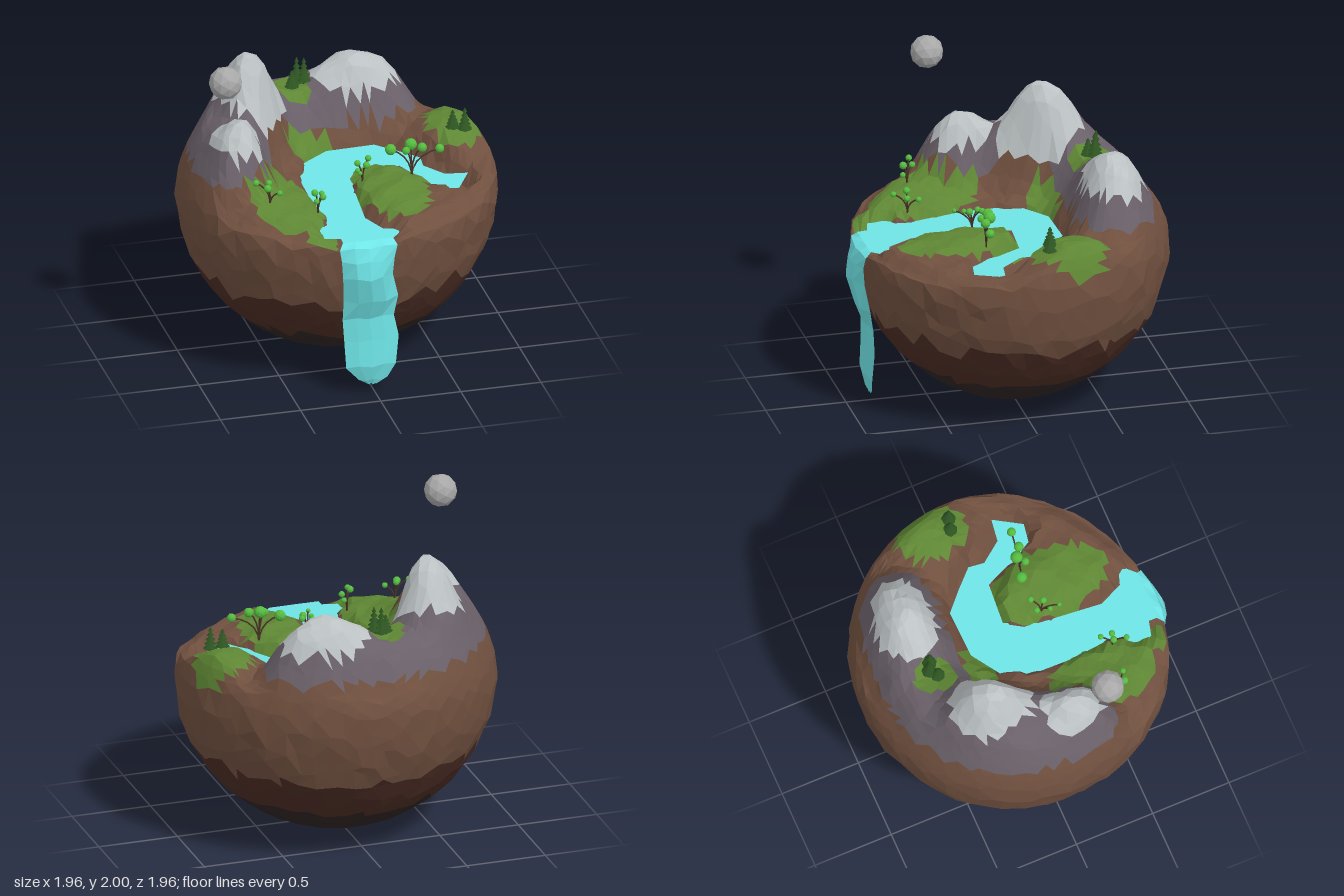
import * as THREE from 'three';

const mat = (color, side = THREE.FrontSide) => new THREE.MeshStandardMaterial({ color, flatShading: true, side });
const COLORS = { snow: 0xbcc2c4, rock: 0x6a6069, grass: 0x5f8734, soil: 0x70503f, clay: 0x4b2c24, bedrock: 0x2e2423 };
const R = 0.98, RIM_Y = 0.97;

// Mountain peaks: x, z, spread x, spread z, height
const PEAKS = [[-0.46, -0.33, 0.19, 0.24, 0.39], [0.26, -0.59, 0.24, 0.18, 0.18], [-0.65, 0.12, 0.14, 0.17, 0.12]];
// Grass patches: x, z, radius x, radius z, highest level
const GRASS = [[-0.43, 0.42, 0.23, 0.33, 1.24], [0.25, 0.35, 0.22, 0.38, 2], [0.77, -0.2, 0.17, 0.22, 2],
  [-0.14, -0.56, 0.11, 0.13, 2], [-0.1, -0.25, 0.16, 0.09, 1.24], [-0.3, 0.78, 0.1, 0.1, 2]];
const RIDGE = [[-0.73, 0.1], [-0.62, -0.3], [-0.4, -0.57], [-0.1, -0.62], [0.37, -0.6]];
const RIVER = [[0.66, 0.27], [0.52, 0.06], [0.32, -0.13], [0, -0.12], [-0.1, 0.1], [-0.1, 0.4], [-0.06, 0.95]];

const ellipse = (x, z, [cx, cz, sx, sz]) => ((x - cx) / sx) ** 2 + ((z - cz) / sz) ** 2;
const bump = (x, z, e) => Math.exp(-(ellipse(x, z, e) ** 1.25));
const { smoothstep, lerp, clamp } = THREE.MathUtils;

function pathDistance(x, z, pts) {
  let best = 9;
  for (let i = 1; i < pts.length; i++) {
    const [ax, az] = pts[i - 1], dx = pts[i][0] - ax, dz = pts[i][1] - az;
    const t = clamp(((x - ax) * dx + (z - az) * dz) / (dx * dx + dz * dz), 0, 1);
    best = Math.min(best, Math.hypot(x - ax - t * dx, z - az - t * dz));
  }
  return best;
}

const ridge = (x, z) => Math.exp(-((pathDistance(x, z, RIDGE) / 0.26) ** 4));

// Height of the island's upper side
function ground(x, z) {
  const r = Math.min(Math.hypot(x, z) / R, 1);
  let y = 1.09 + 0.012 * Math.sin(x * 23 + z * 9) * Math.sin(z * 19 - x * 5);
  y += 0.3 * ridge(x, z);
  y += 0.07 * bump(x, z, [-0.58, 0.36, 0.22, 0.3]) + 0.05 * bump(x, z, [0.27, 0.3, 0.17, 0.28]);
  y += 0.17 * bump(x, z, [0.76, -0.22, 0.25, 0.28]);
  y -= 0.07 * smoothstep(r, 0.82, 0.98) * smoothstep(z, 0.2, 0.6);
  const bank = pathDistance(x, z, RIVER) - 0.09 * smoothstep(z, 0.55, 0.75);
  y = lerp(0.98, y, smoothstep(bank, 0.09, 0.17));
  y = Math.min(y, RIM_Y + 0.82 * (1 - r * r) ** 0.62);
  for (const p of PEAKS) y += p[4] * bump(x, z, p) * (1 - r ** 10);
  return y;
}

// Repeatable jitter from a position
const hash = (x, y, z, k) => {
  const s = Math.sin(Math.round(x * 1e3) * 12.9 + Math.round(y * 1e3) * 78.2 + Math.round(z * 1e3) * 37.7 + k * 5.3) * 43758.5;
  return s - Math.floor(s) - 0.5;
};

// Maps a point of a unit sphere onto the island
function islandPoint(v) {
  const { x, y, z } = v;
  v.x += 0.055 * hash(x, y, z, 1);
  v.y += 0.055 * hash(x, y, z, 2);
  v.z += 0.055 * hash(x, y, z, 3);
  v.normalize();
  const theta = Math.acos(clamp(v.y, -1, 1)), az = Math.atan2(v.x, v.z), edge = 1.98;
  const front = 1 - 0.07 * Math.max(0, Math.cos(az - 0.35)) ** 3;
  if (theta < edge) {
    const t = theta / edge;
    const r = R * lerp(t, Math.sin(t * Math.PI / 2), 0.5);
    const px = r * Math.sin(az), pz = r * Math.cos(az);
    // Only the rim is pulled in, the middle stays put
    const pull = lerp(1, front, t ** 3);
    return v.set(px * pull, ground(px, pz), pz * pull);
  }
  const a = (theta - edge) / (Math.PI - edge) * Math.PI / 2;
  const r = R * Math.cos(a) * front * (1 + 0.02 * hash(x, y, z, 4));
  return v.set(r * Math.sin(az), RIM_Y * (1 - Math.sin(a)), r * Math.cos(az));
}

function layerOf({ x, y, z }) {
  if (y < 0.3) return 'bedrock';
  if (y < 0.57) return 'clay';
  if (y < 0.95) return 'soil';
  if (GRASS.some(e => ellipse(x, z, e) < 1 && y < e[4])) return 'grass';
  if (y > 1.36 && PEAKS.some(p => bump(x, z, p) > 0.27)) return 'snow';
  return y > 1.22 && ridge(x, z) > 0.3 ? 'rock' : 'soil';
}

// Island: one faceted surface, split into layers by height and place
function island() {
  const group = new THREE.Group();
  group.name = 'island';
  const src = new THREE.IcosahedronGeometry(1, 11).attributes.position;
  const layers = {}, mid = new THREE.Vector3();
  for (let i = 0; i < src.count; i += 3) {
    const tri = [0, 1, 2].map(k => islandPoint(new THREE.Vector3().fromBufferAttribute(src, i + k)));
    mid.copy(tri[0]).add(tri[1]).add(tri[2]).divideScalar(3);
    const list = (layers[layerOf(mid)] ??= []);
    tri.forEach(p => list.push(p.x, p.y, p.z));
  }
  for (const [name, list] of Object.entries(layers)) {
    const geo = new THREE.BufferGeometry();
    geo.setAttribute('position', new THREE.Float32BufferAttribute(list, 3));
    geo.computeVertexNormals();
    add(group, geo, mat(COLORS[name]), name);
  }
  return group;
}

function add(parent, geo, material, name, x = 0, y = 0, z = 0) {
  const mesh = new THREE.Mesh(geo, material);
  mesh.name = name;
  mesh.position.set(x, y, z);
  parent.add(mesh);
  return mesh;
}

// River surface and the waterfall hanging from its lip
function water() {
  const group = new THREE.Group(), m = mat(0x6fe4e6, THREE.DoubleSide);
  group.name = 'water';
  const outline = [[-0.2, 0.82], [-0.35, 0.78], [-0.3, 0.66], [-0.22, 0.55], [-0.25, 0.3], [-0.25, 0], [-0.18, -0.14], [0, -0.26],
    [0.3, -0.27], [0.42, -0.16], [0.53, -0.05], [0.52, 0.05], [0.62, 0.18], [0.76, 0.2], [0.66, 0.37], [0.48, 0.34], [0.45, 0.17],
    [0.38, 0.02], [0.12, 0], [0.04, 0.2], [0.01, 0.6], [0.08, 0.75], [0.2, 0.79], [0.11, 0.88], [-0.2, 0.88]];
  const river = new THREE.ShapeGeometry(new THREE.Shape(outline.map(([x, z]) => new THREE.Vector2(x, -z)))).rotateX(-Math.PI / 2);
  const p = river.attributes.position;
  for (let i = 0; i < p.count; i++) p.setY(i, 1.085 - 0.055 * (p.getZ(i) + 0.25));
  river.computeVertexNormals();
  add(group, river, m, 'river');

  // Rows: y, left x, right x, back z, front z
  const rows = [[1.024, -0.2, 0.11, 0.87, 0.88], [0.99, -0.23, 0.13, 0.91, 0.93], [0.92, -0.22, 0.11, 0.92, 0.965],
    [0.8, -0.21, 0.1, 0.91, 0.985], [0.64, -0.2, 0.14, 0.885, 0.94], [0.5, -0.2, 0.12, 0.86, 0.885],
    [0.36, -0.19, 0.15, 0.86, 0.885], [0.18, -0.18, 0.13, 0.87, 0.895], [0.09, -0.1, 0.08, 0.86, 0.87], [0.045, -0.03, 0.01, 0.85, 0.855]];
  const cols = 4, fall = new THREE.PlaneGeometry(1, 1, cols, rows.length - 1), q = fall.attributes.position;
  rows.forEach(([y, xl, xr, zb, zf], j) => {
    for (let i = 0; i <= cols; i++) {
      const u = i / cols, wob = i % 2 && j ? 0.012 * (j % 2 ? 1 : -1) : 0;
      q.setXYZ(j * (cols + 1) + i, lerp(xl, xr, u), y + wob, lerp(zb, zf, 1 - (2 * u - 1) ** 2));
    }
  });
  fall.computeVertexNormals();
  add(group, fall, m, 'waterfall');
  return group;
}

// Conifer: thin trunk with shrinking tiers
const bark = mat(0x4a3226), needles = mat(0x2c5220), leaves = mat(0x55bb40);
function pine(x, z, h) {
  const tree = new THREE.Group();
  tree.name = 'pine';
  add(tree, new THREE.CylinderGeometry(0.004, 0.008, h, 5), bark, 'trunk', 0, h * 0.45, 0);
  for (let i = 0; i < 5; i++)
    add(tree, new THREE.ConeGeometry(0.046 - i * 0.008, h * 0.17, 7), needles, 'tier', 0, h * (0.25 + i * 0.165), 0).rotation.y = i;
  tree.position.set(x, ground(x, z) - 0.01, z);
  return tree;
}

// Broadleaf: forked branches, each ending in a leaf ball [x, y, z, radius]
function broadleaf(x, z, balls) {
  const tree = new THREE.Group();
  tree.name = 'broadleafTree';
  const y = ground(x, z) - 0.02, base = new THREE.Vector3(x, y, z);
  for (const [bx, by, bz, r] of balls) {
    const tip = new THREE.Vector3(bx, by, bz), fork = new THREE.Vector3(x, lerp(y, by, 0.8), z);
    add(tree, new THREE.TubeGeometry(new THREE.QuadraticBezierCurve3(base, fork, tip), 5, 0.005, 5), bark, 'branch');
    add(tree, new THREE.IcosahedronGeometry(r, 1), leaves, 'leafBall', bx, by, bz);
  }
  return tree;
}

export function createModel() {
  const model = new THREE.Group();
  model.name = 'floatingIsland';
  model.add(island(), water());
  for (const [x, z, h] of [[-0.1, -0.58, 0.2], [-0.06, -0.56, 0.18], [-0.14, -0.54, 0.13], [0.74, -0.08, 0.14], [0.81, -0.06, 0.17]])
    model.add(pine(x, z, h));
  model.add(
    broadleaf(0.4, 0.23, [[0.28, 1.27, 0.19, 0.035], [0.4, 1.3, 0.21, 0.038], [0.57, 1.27, 0.25, 0.028], [0.46, 1.29, 0.25, 0.03], [0.36, 1.28, 0.25, 0.025]]),
    broadleaf(0.09, 0.24, [[0.07, 1.21, 0.2, 0.02], [0.14, 1.23, 0.19, 0.02], [0.11, 1.22, 0.26, 0.022], [0.05, 1.2, 0.28, 0.016], [0.05, 1.21, 0.34, 0.014]]),
    broadleaf(-0.27, 0.55, [[-0.23, 1.18, 0.49, 0.018], [-0.29, 1.22, 0.55, 0.022], [-0.3, 1.2, 0.63, 0.018], [-0.24, 1.19, 0.56, 0.02]]),
    broadleaf(-0.55, 0.48, [[-0.63, 1.28, 0.45, 0.02], [-0.57, 1.26, 0.5, 0.024], [-0.5, 1.23, 0.52, 0.018], [-0.55, 1.27, 0.45, 0.02]]));
  // Moon floating above the peaks
  add(model, new THREE.IcosahedronGeometry(0.102, 1), mat(0xa8a8a8), 'moon', -0.78, 1.9, 0.3);
  return model;
}
